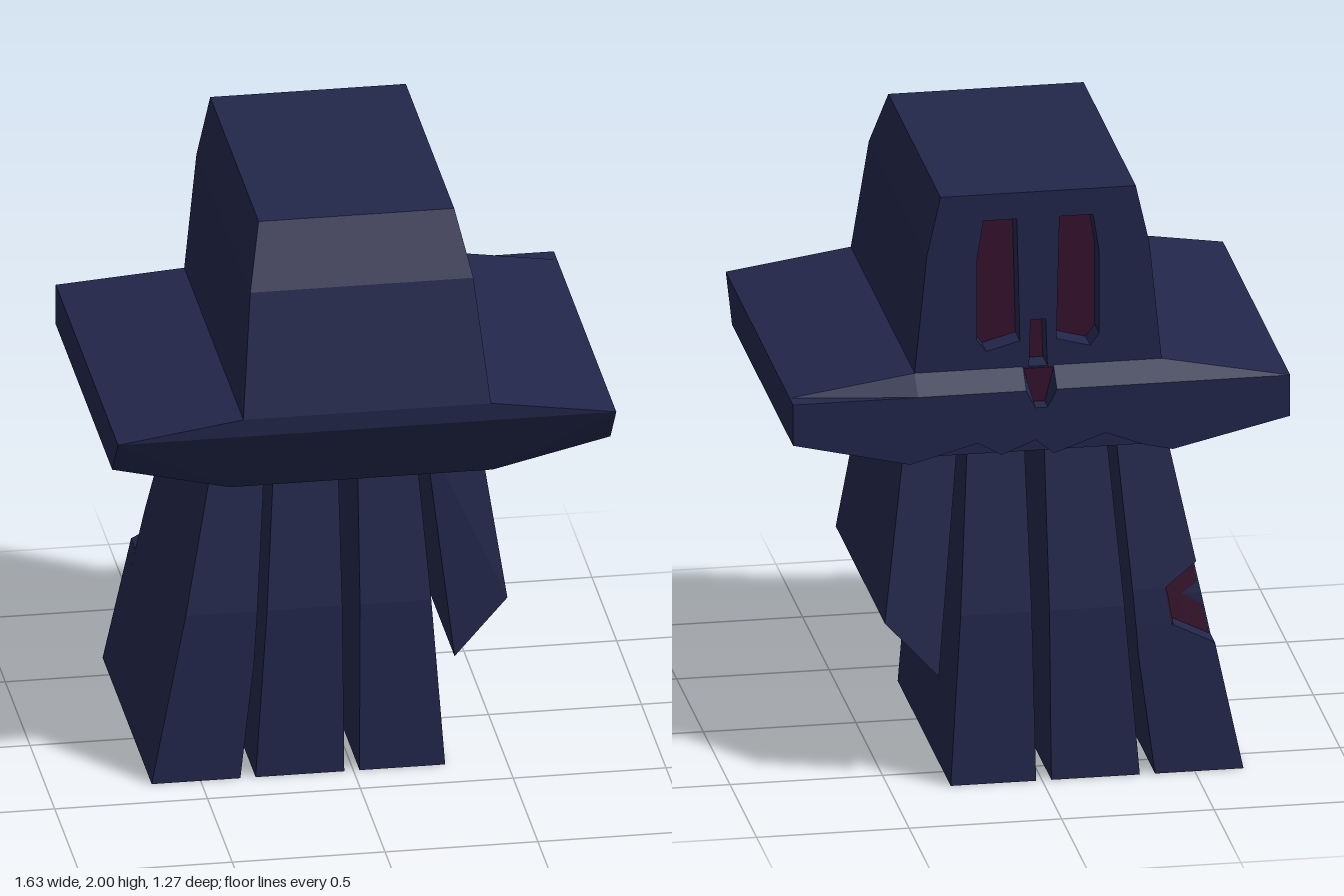
import * as THREE from 'three';
import { ConvexGeometry } from 'three/addons/geometries/ConvexGeometry.js';

const navy = new THREE.MeshStandardMaterial({ color: 0x22264a, flatShading: true });
const maroon = new THREE.MeshStandardMaterial({ color: 0x35112c, flatShading: true });

const V = (x, y, z) => new THREE.Vector3(x, y, z);
const mix = (a, b, t) => a + (b - a) * t;

// Depth of the tentacles: they spread slightly towards the ground
const frontZ = y => y > 0.57 ? mix(0.32, 0.22, (y - 0.57) / 0.54) : mix(0.36, 0.32, y / 0.57);
const backZ = y => y > 0.57 ? mix(-0.6, -0.5, (y - 0.57) / 0.54) : mix(-0.635, -0.6, y / 0.57);

// Convex solid from an outline in x, y, with its depth set by height
const slab = (outline, front = frontZ, back = backZ) => new ConvexGeometry(
  outline.flatMap(([x, y]) => [V(x, y, front(y)), V(x, y, back(y))]));

const shapeOf = pts => new THREE.Shape(pts.map(([x, y]) => new THREE.Vector2(x, y)));

export function createModel() {
  const model = new THREE.Group();
  const add = (name, geometry, material = navy, parent = model) => {
    const mesh = new THREE.Mesh(geometry, material);
    mesh.name = name;
    parent.add(mesh);
    return mesh;
  };

  // Crown: tapers to the top, with a sloping front
  const plateZ = -0.47;
  const levels = [[1.4, 0.405, 0.638], [1.8, 0.365, 0.53], [2, 0.32, 0.42]];
  add('crown', new ConvexGeometry(levels.flatMap(([y, x, z]) =>
    [-x, x].flatMap(sx => [V(sx, y, z), V(sx, y, plateZ)]))));

  // Back plate of the crown with two eye slots and a nose slot
  const face = shapeOf([
    [-0.405, 1.4], [-0.03, 1.4], [-0.025, 1.56], [0.025, 1.56], [0.03, 1.4],
    [0.405, 1.4], [0.365, 1.8], [0.32, 2], [-0.32, 2], [-0.365, 1.8]]);
  for (const s of [-1, 1]) {
    face.holes.push(new THREE.Path([[0.06, 1.49], [0.17, 1.46], [0.2, 1.5], [0.2, 1.78], [0.18, 1.91], [0.07, 1.91]]
      .map(([x, y]) => new THREE.Vector2(s * x, y))));
  }
  const plate = new THREE.ExtrudeGeometry(face, { depth: 0.09, bevelEnabled: false });
  add('crownBackPlate', plate).position.z = -0.56;
  add('slotLining', new THREE.BoxGeometry(0.44, 0.54, 0.01), maroon).position.set(0, 1.67, plateZ);

  // Brim: wide wedge-edged slab, undercut along the front
  const rim = [[0.815, 1.34, 0.638], [0.405, 1.4, 0.638], [0.43, 1.11, 0.52], [0.815, 1.2, 0.52]];
  add('brim', new ConvexGeometry(rim.flatMap(([x, y, z]) =>
    [-x, x].flatMap(sx => [V(sx, y, z), V(sx, y, -0.56)]))));

  // Back lip of the brim: ragged lower edge, notch at the top, sloping down to the rear
  const lip = new THREE.ExtrudeGeometry(shapeOf([
    [-0.815, 1.2], [-0.43, 1.11], [-0.34, 1.13], [-0.21, 1.18], [-0.04, 1.12], [0.02, 1.17],
    [0.13, 1.125], [0.21, 1.17], [0.43, 1.11], [0.815, 1.2], [0.815, 1.34], [0.405, 1.4],
    [0.05, 1.4], [0.02, 1.28], [-0.02, 1.28], [-0.05, 1.4], [-0.405, 1.4], [-0.815, 1.34]]),
  { depth: 0.065, bevelEnabled: false });
  const p = lip.attributes.position;
  for (let i = 0; i < p.count; i++) {
    if (p.getZ(i) < 0.01) p.setY(i, Math.min(p.getY(i), 1.34));
  }
  lip.computeVertexNormals();
  add('brimBackLip', lip).position.z = -0.625;
  add('noseNotchLining', new THREE.BoxGeometry(0.1, 0.12, 0.01), maroon).position.set(0, 1.335, -0.559);

  // Two middle tentacles and the short, cut-off one
  add('middleRightTentacle', slab([[-0.32, 0], [-0.03, 0], [-0.03, 0.57], [-0.03, 1.12], [-0.235, 1.12], [-0.276, 0.57]]));
  add('middleLeftTentacle', slab([[0.02, 0], [0.3, 0], [0.261, 0.57], [0.222, 1.12], [0.035, 1.12], [0.028, 0.57]]));
  add('shortLeftTentacle', slab([[0.335, 0.37], [0.51, 0.56], [0.43, 1.12], [0.255, 1.12]]));

  // Outer right tentacle, with a bite out of its rear corner
  const outer = new THREE.Group();
  outer.name = 'outerRightTentacle';
  model.add(outer);
  const biteZ = y => backZ(y) + 0.085;
  add('outerTentacleBody', slab([[-0.66, 0], [-0.37, 0], [-0.32, 0.4], [-0.308, 0.57], [-0.265, 1.12],
    [-0.43, 1.12], [-0.542, 0.57]], frontZ, biteZ), navy, outer);
  add('outerTentacleLowerRear', slab([[-0.66, 0], [-0.37, 0], [-0.32, 0.4], [-0.313, 0.5], [-0.43, 0.5],
    [-0.571, 0.43]], biteZ), navy, outer);
  add('outerTentacleMiddleRear', slab([[-0.43, 0.5], [-0.313, 0.5], [-0.304, 0.62], [-0.41, 0.62]], biteZ), navy, outer);
  add('outerTentacleUpperRear', slab([[-0.41, 0.62], [-0.304, 0.62], [-0.265, 1.12], [-0.43, 1.12],
    [-0.515, 0.7]], biteZ), navy, outer);
  add('biteFloor', slab([[-0.565, 0.43], [-0.42, 0.5], [-0.4, 0.62], [-0.511, 0.7]],
    biteZ, y => biteZ(y) - 0.006), maroon, outer);
  add('biteWall', slab([[-0.436, 0.5], [-0.42, 0.5], [-0.4, 0.62], [-0.416, 0.62]],
    biteZ, y => backZ(y) + 0.003), maroon, outer);

  return model;
}
